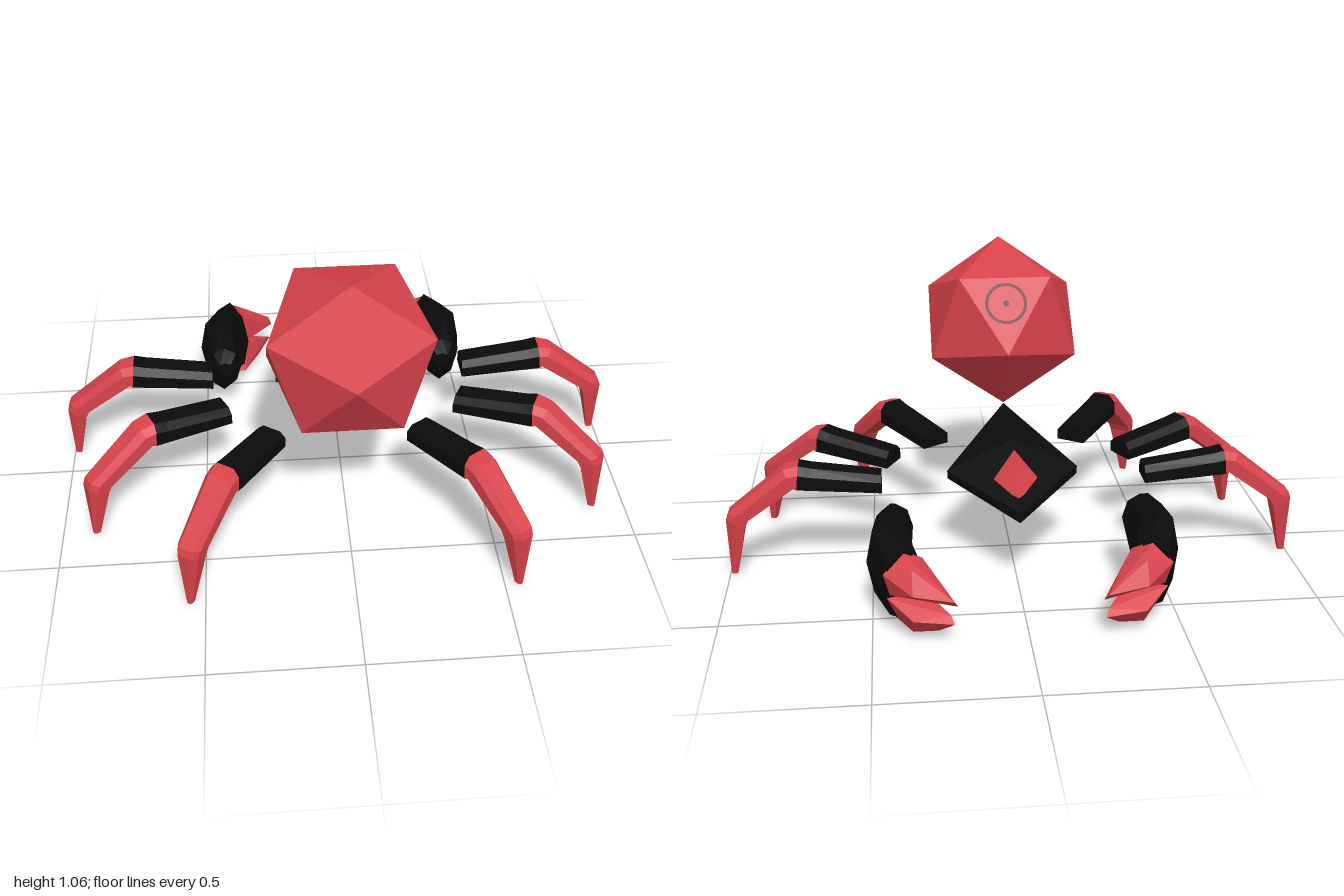
import * as THREE from 'three';
import { ConvexGeometry } from 'three/addons/geometries/ConvexGeometry.js';

const red = new THREE.MeshStandardMaterial({ color: 0xd8434a });
const black = new THREE.MeshStandardMaterial({ color: 0x0b0b0b });
const darkRed = new THREE.MeshStandardMaterial({ color: 0x6a1a1f });

function part(name, geometry, material) {
  const mesh = new THREE.Mesh(geometry, material);
  mesh.name = name;
  return mesh;
}

// Faceted solid through equal-sized rings of points, capped at both ends
function loft(rings) {
  const n = rings[0].length;
  const tris = [];
  for (let i = 0; i < rings.length - 1; i++) {
    for (let j = 0; j < n; j++) {
      const k = (j + 1) % n;
      const [a, b, c, d] = [rings[i][j], rings[i][k], rings[i + 1][k], rings[i + 1][j]];
      tris.push([a, b, c], [a, c, d]);
    }
  }
  const first = rings[0], last = rings[rings.length - 1];
  for (let j = 1; j < n - 1; j++) {
    tris.push([first[0], first[j + 1], first[j]], [last[0], last[j], last[j + 1]]);
  }
  // Turn the faces outward whichever way the rings run
  let volume = 0;
  for (const [a, b, c] of tris) volume += a.dot(b.clone().cross(c));
  if (volume < 0) tris.forEach((t) => t.reverse());
  const geometry = new THREE.BufferGeometry().setFromPoints(tris.flat());
  geometry.computeVertexNormals();
  return geometry;
}

function hull(points, side = 1) {
  return new ConvexGeometry(points.map(([x, y, z]) => new THREE.Vector3(side * x, y, z)));
}

// Leg cross-section: outer point, inner point, half width; outer corners chamfered
function legRing([ox, oy, ix, iy, w]) {
  const at = (t, z) => new THREE.Vector3(ix + (ox - ix) * t, iy + (oy - iy) * t, z);
  return [at(0, -w), at(0.65, -w), at(1, -0.6 * w), at(1, 0.6 * w), at(0.65, w), at(0, w)];
}

function makeLeg(name) {
  const leg = new THREE.Group();
  leg.name = name;
  const joint = [0.283, 0.408, 0.29, 0.328, 0.055];
  leg.add(part('upperLeg', loft([[0, 0.363, 0, 0.305, 0.055], [0.24, 0.398, 0.25, 0.325, 0.055], joint].map(legRing)), black));
  leg.add(part('lowerLeg', loft([
    joint,
    [0.334, 0.396, 0.302, 0.332, 0.052],
    [0.53, 0.24, 0.462, 0.215, 0.043],
    [0.54, 0.215, 0.475, 0.19, 0.041],
    [0.537, 0, 0.515, 0, 0.01],
  ].map(legRing)), red));
  return leg;
}

// Claw cross-section: eight-sided ellipse, with z tilted across x and y
function clawRing(side, [x, y, z, rx, ry, tx = 0, ty = 0]) {
  return Array.from({ length: 8 }, (_, i) => {
    const c = Math.cos(i * Math.PI / 4), s = Math.sin(i * Math.PI / 4);
    return new THREE.Vector3(side * (x + rx * c), y + ry * s, z + tx * c + ty * s);
  });
}

function makeClaw(side, name) {
  const claw = new THREE.Group();
  claw.name = name;
  claw.add(part('palm', loft([
    [0.417, 0.25, -0.255, 0.03, 0.03],
    [0.418, 0.235, -0.295, 0.06, 0.085],
    [0.43, 0.212, -0.37, 0.067, 0.142],
    [0.438, 0.2, -0.48, 0.076, 0.158],
    [0.395, 0.165, -0.595, 0.068, 0.141, -0.035, -0.04],
  ].map((r) => clawRing(side, r))), black));
  claw.add(part('upperFinger', hull([
    [0.46, 0.235, -0.645], [0.40, 0.306, -0.625], [0.335, 0.26, -0.585],
    [0.328, 0.16, -0.58], [0.44, 0.155, -0.63], [0.37, 0.262, -0.675],
    [0.37, 0.19, -0.715], [0.24, 0.168, -0.722], [0.23, 0.145, -0.705],
  ], side), red));
  claw.add(part('lowerFinger', hull([
    [0.45, 0.145, -0.63], [0.33, 0.142, -0.58], [0.425, 0.028, -0.54],
    [0.345, 0.04, -0.53], [0.36, 0.02, -0.6], [0.37, 0.035, -0.655],
    [0.37, 0.095, -0.7], [0.24, 0.08, -0.703], [0.25, 0.1, -0.68], [0.29, 0.032, -0.65],
  ], side), red));
  return claw;
}

export function createModel() {
  const model = new THREE.Group();
  model.name = 'spider';

  // Thorax: faceted wedge sloping down to the head
  model.add(part('thorax', hull([
    [0, 0.465, 0.26], [0, 0.465, -0.116], [0, 0.295, -0.365], [0, 0.26, -0.365],
    [0.23, 0.345, -0.09], [-0.23, 0.345, -0.09], [0.23, 0.312, -0.08], [-0.23, 0.312, -0.08],
  ]), black));

  // Face: low kite-shaped pyramid
  model.add(part('face', hull([
    [0, 0.44, -0.153], [0.096, 0.34, -0.2], [-0.096, 0.34, -0.2],
    [0, 0.33, -0.318], [0, 0.42, -0.238],
  ]), red));

  // Abdomen: tilted icosahedron
  const abdomen = new THREE.Group();
  abdomen.name = 'abdomen';
  abdomen.position.set(0, 0.763, 0.358);
  const shell = part('abdomenShell', new THREE.IcosahedronGeometry(0.311), red);
  shell.rotation.x = THREE.MathUtils.degToRad(-40.2);
  abdomen.add(shell);

  // Ring and dot lying on the upper face that looks over the head
  const marking = new THREE.Group();
  marking.name = 'marking';
  const normal = new THREE.Vector3(0, 0.119, -0.216).normalize();
  marking.quaternion.setFromUnitVectors(new THREE.Vector3(0, 0, 1), normal);
  marking.position.copy(normal).multiplyScalar(0.25);
  marking.add(part('markingRing', new THREE.RingGeometry(0.064, 0.075, 32), darkRed));
  marking.add(part('markingDot', new THREE.CircleGeometry(0.011, 12), darkRed));
  abdomen.add(marking);
  model.add(abdomen);

  // Three legs and a claw on each side
  const legs = [['Front', 0.46, -0.12, 0], ['Middle', 0.417, 0.093, 27], ['Back', 0.256, 0.253, 56]];
  for (const side of [1, -1]) {
    const label = side > 0 ? 'left' : 'right';
    for (const [place, x, z, degrees] of legs) {
      const leg = makeLeg(`${label}${place}Leg`);
      const angle = THREE.MathUtils.degToRad(degrees);
      leg.position.set(side * x, 0, z);
      leg.rotation.y = side > 0 ? -angle : Math.PI + angle;
      model.add(leg);
    }
    model.add(makeClaw(side, `${label}Claw`));
  }
  return model;
}
